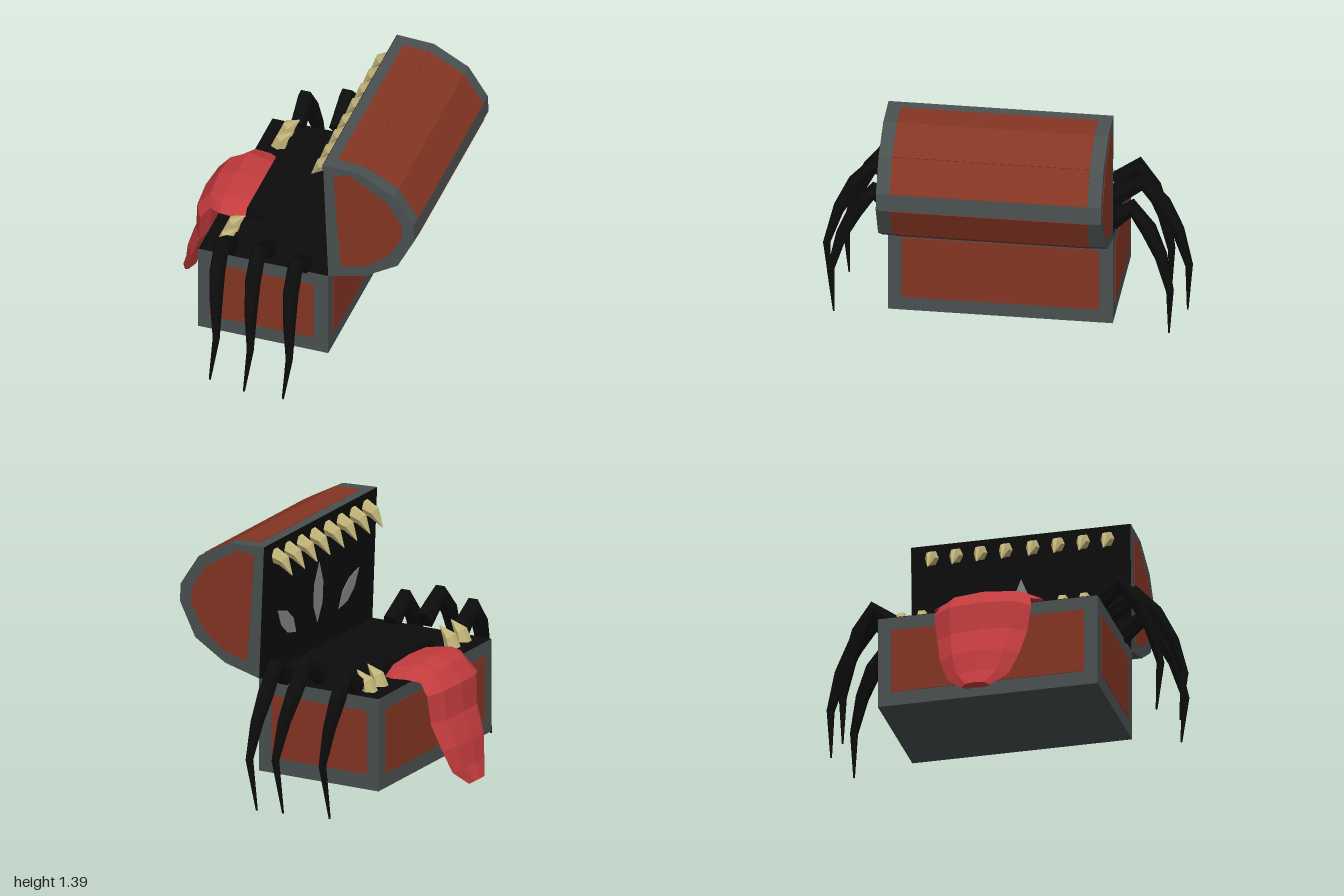
import * as THREE from 'three';

const mat = (name, color, side = THREE.FrontSide) => {
  const m = new THREE.MeshStandardMaterial({ color, side });
  m.name = name;
  return m;
};

export function createModel() {
  const iron = mat('iron grey', 0x4a5050);
  const wood = mat('red brown wood', 0x853523);
  const black = mat('black', 0x0c0c0c);
  const bone = mat('bone', 0xc4b67a);
  const red = mat('tongue red', 0xc43c3e);
  const eyeGrey = mat('eye grey', 0x858585);

  const root = new THREE.Group();
  root.name = 'chestMonster';
  const add = (name, geo, material, parent = root) => {
    const m = new THREE.Mesh(geo, material);
    m.name = name;
    parent.add(m);
    return m;
  };
  const group = (name) => {
    const g = new THREE.Group();
    g.name = name;
    root.add(g);
    return g;
  };
  const extrude = (pts, depth) => new THREE.ExtrudeGeometry(
    new THREE.Shape(pts.map(p => new THREE.Vector2(...p))), { depth, bevelEnabled: false });

  // thin plate lying along the line a-b in the xy plane, spanning z
  const plate = (name, a, b, depth, material, parent) => {
    const dx = b[0] - a[0], dy = b[1] - a[1];
    const m = add(name, new THREE.BoxGeometry(Math.hypot(dx, dy), 0.006, depth), material, parent);
    m.position.set((a[0] + b[0]) / 2, (a[1] + b[1]) / 2, 0);
    m.rotation.z = Math.atan2(dy, dx);
    return m;
  };

  // faceted sweep: stations are [x, y, z, halfThickness, halfWidth], section is [normal, lateral]
  const sweep = (stations, section) => {
    const n = section.length, last = stations.length - 1;
    const rings = stations.map((s, i) => {
      const p = stations[Math.max(i - 1, 0)], q = stations[Math.min(i + 1, last)];
      const l = Math.hypot(q[0] - p[0], q[1] - p[1]);
      const tx = (q[0] - p[0]) / l, ty = (q[1] - p[1]) / l;
      return section.map(([a, b]) => [s[0] - ty * a * s[3], s[1] + tx * a * s[3], s[2] + b * s[4]]);
    });
    const pos = [];
    const tri = (...v) => v.forEach(p => pos.push(...p));
    for (let i = 0; i < last; i++) {
      for (let j = 0; j < n; j++) {
        const k = (j + 1) % n, r = rings[i], t = rings[i + 1];
        tri(r[j], r[k], t[k]);
        tri(r[j], t[k], t[j]);
      }
    }
    for (let j = 1; j < n - 1; j++) {
      tri(rings[0][0], rings[0][j + 1], rings[0][j]);
      tri(rings[last][0], rings[last][j], rings[last][j + 1]);
    }
    const g = new THREE.BufferGeometry();
    g.setAttribute('position', new THREE.Float32BufferAttribute(pos, 3));
    g.computeVertexNormals();
    return g;
  };

  // chest base with inset-looking panels and a black mouth floor
  const base = group('base');
  add('baseFrame', new THREE.BoxGeometry(0.74, 0.52, 1.22), iron, base).position.set(-0.1, 0.38, 0);
  plate('mouthFloor', [-0.468, 0.64], [0.268, 0.64], 1.216, black, base);
  for (const x of [-0.47, 0.27]) plate('basePanel', [x, 0.2], [x, 0.565], 1.07, wood, base);
  for (const s of [-1, 1]) {
    add('baseEndPanel', new THREE.BoxGeometry(0.59, 0.355, 0.006), wood, base)
      .position.set(-0.105, 0.385, s * 0.61);
  }

  // open lid, hinged on +x
  const lid = group('lid');
  const prof = [[0.27, 0.64], [0.48, 0.695], [0.665, 0.81], [0.76, 1.0],
    [0.755, 1.1], [0.645, 1.27], [0.45, 1.375], [0.24, 1.385]];
  add('lidFrame', extrude(prof, 1.22), iron, lid).position.z = -0.61;
  plate('mouthRoof', [0.269, 0.642], [0.24, 1.383], 1.216, black, lid);
  [[[0.335, 0.657], prof[1]], [prof[1], prof[2]], [prof[2], prof[3]],
    [prof[4], prof[5]], [prof[5], prof[6]], [prof[6], [0.3, 1.382]]]
    .forEach(([a, b]) => plate('lidPanel', a, b, 1.07, wood, lid));
  const endPanel = [[0.345, 0.725], [0.48, 0.76], [0.61, 0.86], [0.69, 1.0],
    [0.685, 1.09], [0.6, 1.22], [0.4, 1.345], [0.3, 1.33], [0.325, 0.95]];
  for (const s of [-1, 1]) {
    add('lidEndPanel', extrude(endPanel, 0.006), wood, lid).position.z = s * 0.61 - 0.003;
  }

  // leaf-shaped eyes on the inside of the lid
  const eyes = group('eyes');
  eyes.position.set(0.27, 0.64, 0);
  eyes.rotation.z = 0.04;
  const eye = (z0, y0, z1, y1, w) => {
    const dz = z1 - z0, dy = y1 - y0, l = Math.hypot(dz, dy);
    const at = (t, o) => [z0 + dz * t - dy / l * o, y0 + dy * t + dz / l * o - 0.64];
    const pts = [at(0, 0), at(0.3, -w), at(0.65, -w), at(1, 0), at(0.65, w), at(0.3, w)];
    add('eye', extrude(pts, 0.007), eyeGrey, eyes).rotation.y = -Math.PI / 2;
  };
  eye(0.23, 0.8, 0.44, 0.98, 0.045);
  eye(-0.23, 0.8, -0.44, 0.98, 0.045);
  eye(0, 0.79, 0, 1.13, 0.048);

  // teeth
  const teeth = group('teeth');
  const fang = [[1, 0.5], [0, 1], [-1, 0.5], [-1, -0.5], [0, -1], [1, -0.5]];
  for (const z of [-0.49, -0.355, -0.22, -0.08, 0.07, 0.21, 0.35, 0.485]) {
    add('upperTooth', sweep([[0.25, 1.31, z, 0.04, 0.036], [0.185, 1.285, z, 0.032, 0.028],
      [0.132, 1.21, z, 0.002, 0.002]], fang), bone, teeth);
  }
  for (const z of [-0.51, -0.395, 0.385, 0.505]) {
    add('lowerTooth', sweep([[-0.36, 0.63, z, 0.04, 0.04], [-0.34, 0.695, z, 0.034, 0.034],
      [-0.28, 0.75, z, 0.002, 0.002]], fang), bone, teeth);
  }

  // tongue hanging over the -x rim, with its black root
  add('tongue', sweep([
    [-0.31, 0.665, 0, 0.035, 0.27], [-0.37, 0.67, 0, 0.038, 0.3], [-0.46, 0.68, 0, 0.045, 0.3],
    [-0.535, 0.655, 0, 0.045, 0.25], [-0.595, 0.58, 0, 0.045, 0.27], [-0.605, 0.42, 0, 0.045, 0.25],
    [-0.66, 0.27, 0, 0.045, 0.22], [-0.69, 0.14, 0, 0.035, 0.17], [-0.735, 0.06, 0, 0.02, 0.08],
  ], [[0.8, 0], [1, 0.6], [0.4, 1], [-0.7, 0.65], [-1, 0], [-0.7, -0.65], [0.4, -1], [1, -0.6]]), red);
  add('tongueRoot', extrude([[-0.32, 0.635], [-0.12, 0.635], [-0.31, 0.71]], 0.54), black)
    .position.z = -0.27;

  // three spider legs on each end: [x, peak height, tip height, front reach, back reach]
  const legs = group('legs');
  const legSection = [[1, 0.65], [0, 1], [-1, 0.65], [-1, -0.65], [0, -1], [1, -0.65]];
  for (const [x, peak, tip, front, back] of [[-0.305, 0.82, 0.005, 0.92, 0.87],
    [-0.085, 0.85, 0.035, 1.0, 1.0], [0.12, 0.8, 0, 0.95, 0.92]]) {
    for (const s of [-1, 1]) {
      const q = (s > 0 ? front : back) - 0.56;
      const knee = 0.33 + (peak - 0.85);
      const pts = [[0, peak - 0.15, 0, 0.05, 0.045], [0.38, peak - 0.045, 0, 0.042, 0.042],
        [0.63, peak - 0.17, 0.005, 0.038, 0.044], [0.82, (peak + knee) / 2 - 0.06, 0.022, 0.03, 0.036],
        [0.96, knee, 0.04, 0.019, 0.02], [0.93, tip, 0, 0.004, 0.006]]
        .map(([f, y, off, t, w]) => [0.56 + f * q, y, -s * off, t, w]);
      const leg = add(s > 0 ? 'frontLeg' : 'backLeg', sweep(pts, legSection), black, legs);
      leg.rotation.y = -s * Math.PI / 2;
      leg.position.x = x;
    }
  }
  return root;
}
